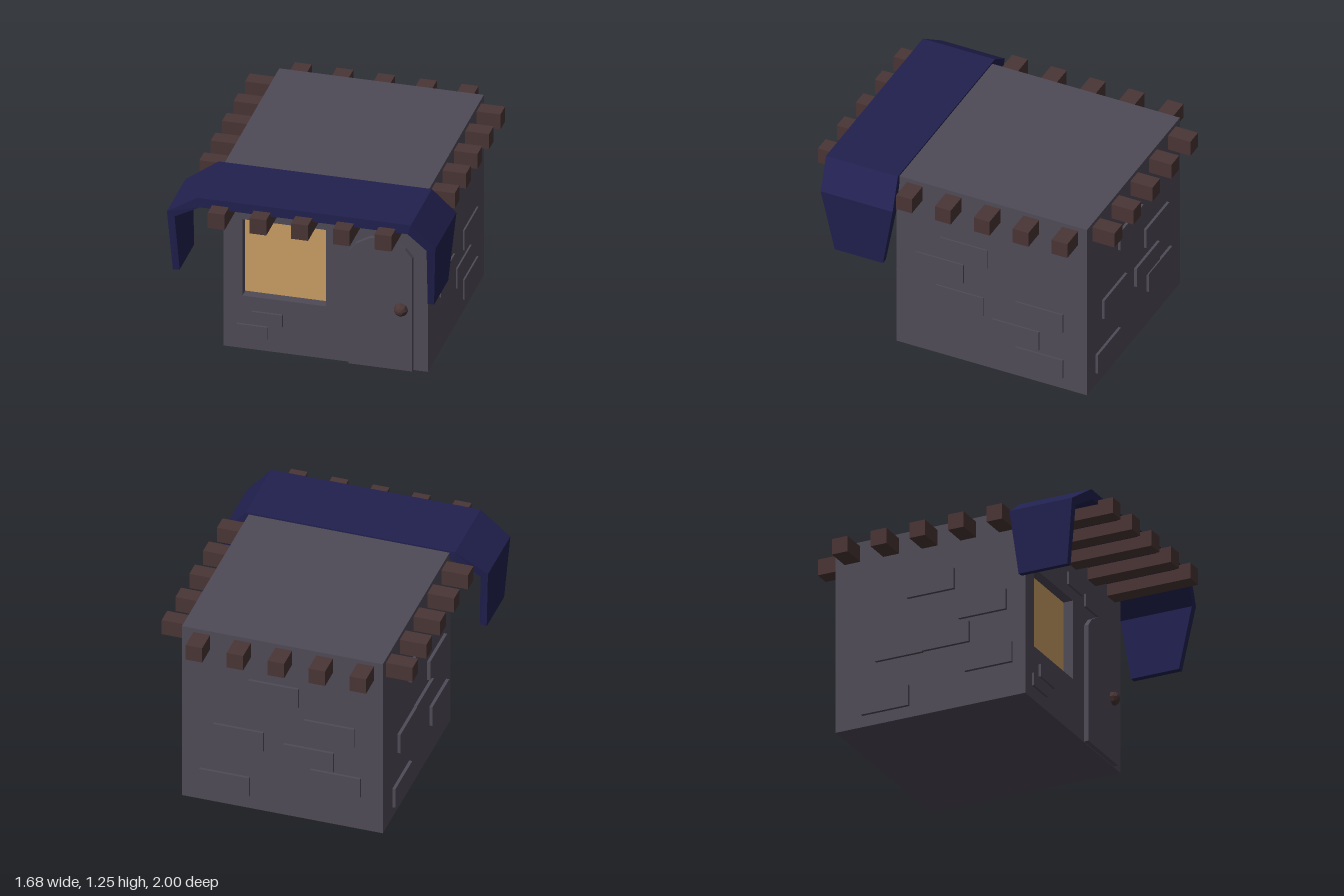
import * as THREE from 'three';

const mat = (name, color) => {
  const m = new THREE.MeshStandardMaterial({ color });
  m.name = name;
  return m;
};

export function createModel() {
  const stone = mat('grey stone', 0x4f4b57);
  const wood = mat('dark brown wood', 0x4a3535);
  const cloth = mat('navy awning', 0x21204f);
  const glow = mat('amber window', 0xcb9f66);

  const root = new THREE.Group();
  root.name = 'hut';

  const add = (name, geometry, material, parent = root) => {
    const mesh = new THREE.Mesh(geometry, material);
    mesh.name = name;
    parent.add(mesh);
    return mesh;
  };
  const box = (name, x0, x1, y0, y1, z0, z1, material, parent) => {
    const m = add(name, new THREE.BoxGeometry(x1 - x0, y1 - y0, z1 - z0), material, parent);
    m.position.set((x0 + x1) / 2, (y0 + y1) / 2, (z0 + z1) / 2);
    return m;
  };
  const group = (name) => {
    const g = new THREE.Group();
    g.name = name;
    root.add(g);
    return g;
  };
  const polygon = (pts) => pts.map(([x, y]) => new THREE.Vector2(x, y));

  // Walls: solid block plus a front wall with the window opening
  const L = -0.61, R = 0.675, H = 1.24, BACK = -0.85, FRONT = 0.435, INNER = 0.365;
  box('walls', L, R, 0, H, BACK, INNER, stone);
  const wall = new THREE.Shape(polygon([[L, 0], [R, 0], [R, H], [L, H]]));
  wall.holes.push(new THREE.Path(polygon([[-0.49, 0.36], [-0.49, 0.885], [0.035, 0.885], [0.035, 0.36]])));
  add('frontWall', new THREE.ExtrudeGeometry(wall, { depth: FRONT - INNER, bevelEnabled: false }), stone)
    .position.z = INNER;
  box('windowPane', -0.49, 0.035, 0.36, 0.885, INNER, INNER + 0.005, glow);

  // Arched door and faceted knob
  const door = new THREE.Shape(polygon([
    [0.185, 0.005], [0.585, 0.005], [0.585, 0.78], [0.54, 0.835], [0.45, 0.887],
    [0.32, 0.887], [0.23, 0.835], [0.185, 0.78],
  ]));
  add('door', new THREE.ExtrudeGeometry(door, { depth: 0.03, bevelEnabled: false }), stone)
    .position.z = FRONT;
  const knobGeometry = new THREE.SphereGeometry(0.045, 8, 6).rotateX(Math.PI / 2).toNonIndexed();
  knobGeometry.computeVertexNormals();
  add('doorKnob', knobGeometry, wood).position.set(0.515, 0.422, 0.465);

  // Roof beams running through the walls both ways
  const beams = group('roofBeams');
  for (let i = 0; i < 5; i++) {
    const x = -0.5 + i * 0.262;
    const z = -0.737 + i * 0.262;
    box('lengthBeam', x - 0.053, x + 0.053, 1.108, 1.213, -1, 1, wood, beams);
    box('crossBeam', -0.78, 0.825, 1.109, 1.212, z - 0.053, z + 0.053, wood, beams);
  }

  // Raised bricks, given by centre along the wall and height
  const bricks = group('bricks');
  const W = 0.16, B = 0.068;
  for (const [x, y] of [[0.048, 1.0], [0.278, 0.947], [-0.333, 0.223], [-0.425, 0.127]])
    box('frontBrick', x - 0.097, x + 0.097, y - 0.042, y + 0.042, FRONT - 0.01, FRONT + 0.015, stone, bricks);
  for (const [z, y] of [[-0.02, 0.808], [0.14, 0.648], [0.007, 0.443], [-0.53, 0.488], [-0.37, 0.308], [-0.53, 0.148]])
    box('leftBrick', R - 0.01, R + 0.011, y - B, y + B, z - W, z + W, stone, bricks);
  for (const [z, y] of [[-0.2, 0.86], [0.15, 0.65], [-0.415, 0.48], [-0.1, 0.485], [0.19, 0.29], [-0.51, 0.143]])
    box('rightBrick', L - 0.02, L + 0.01, y - B, y + B, z - W, z + W, stone, bricks);
  for (const [x, y] of [[0.086, 0.878], [0.31, 0.51], [-0.27, 0.662], [-0.138, 0.457], [0.4, 0.16], [-0.31, 0.307]])
    box('backBrick', x - W, x + W, y - B, y + B, BACK - 0.017, BACK + 0.01, stone, bricks);

  // Awning: bent sheet lofted across stations [outer x, y, inner x, y, back z, front z]
  const stations = [
    [-0.82, 0.695, -0.777, 0.70, 0.495, 0.825],
    [-0.845, 1.115, -0.797, 1.085, 0.445, 0.87],
    [-0.645, 1.25, -0.63, 1.187, 0.415, 0.9],
    [0.695, 1.25, 0.675, 1.187, 0.415, 0.9],
    [0.84, 1.09, 0.785, 1.07, 0.38, 0.865],
    [0.81, 0.662, 0.77, 0.662, 0.46, 0.785],
  ];
  const rings = stations.map(([ox, oy, ix, iy, z0, z1]) =>
    [[ox, oy, z0], [ox, oy, z1], [ix, iy, z1], [ix, iy, z0]]);
  const pos = [];
  const quad = (a, b, c, d) => pos.push(...a, ...b, ...c, ...a, ...c, ...d);
  for (let i = 0; i < rings.length - 1; i++)
    for (let j = 0; j < 4; j++) {
      const k = (j + 1) % 4;
      quad(rings[i][j], rings[i][k], rings[i + 1][k], rings[i + 1][j]);
    }
  const first = rings[0], last = rings[rings.length - 1];
  quad(first[3], first[2], first[1], first[0]);
  quad(last[0], last[1], last[2], last[3]);
  const awning = new THREE.BufferGeometry();
  awning.setAttribute('position', new THREE.Float32BufferAttribute(pos, 3));
  awning.computeVertexNormals();
  add('awning', awning, cloth);

  return root;
}
